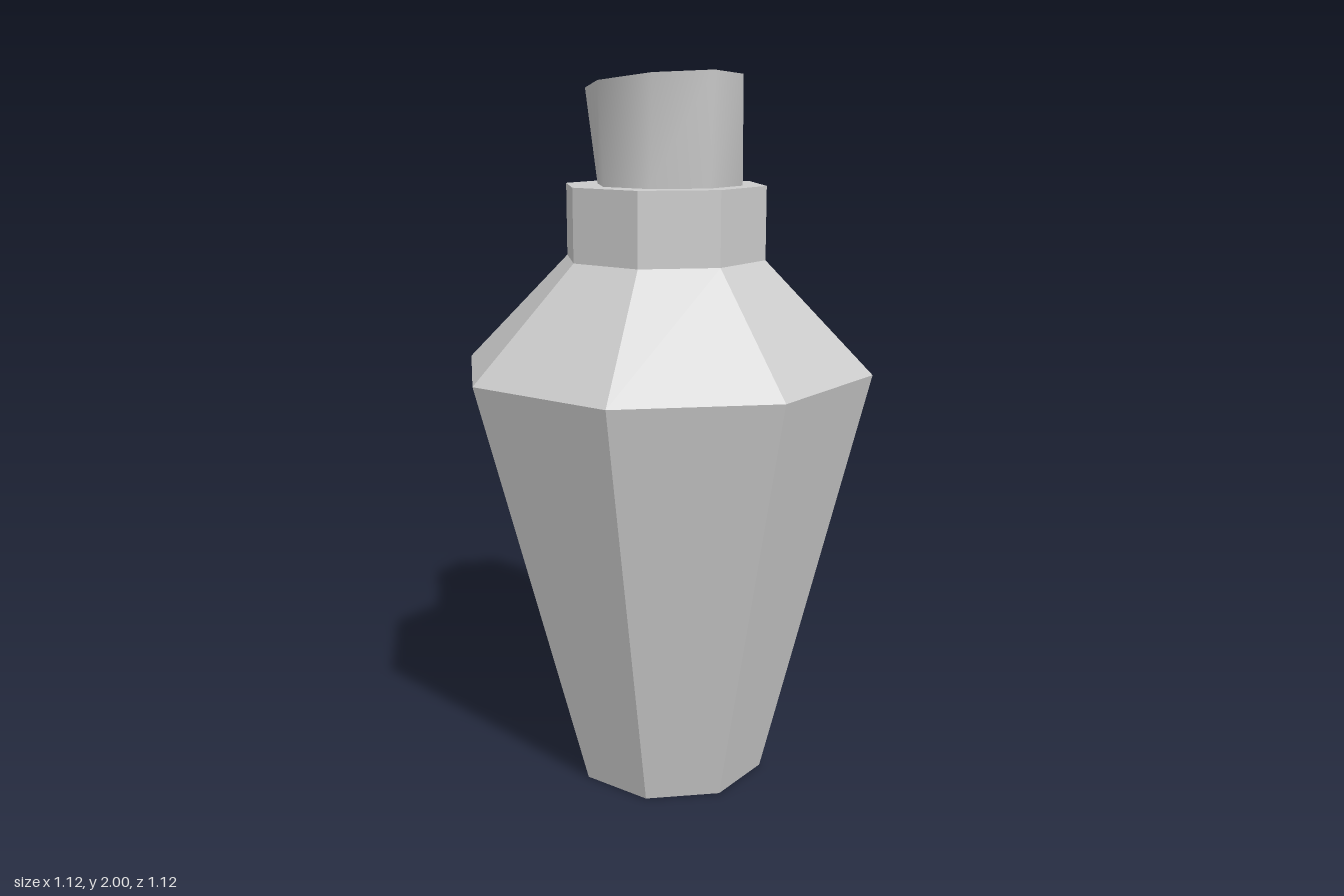
import * as THREE from 'three';
import { toCreasedNormals } from 'three/addons/utils/BufferGeometryUtils.js';

const SIDES = 8;
const TURN = THREE.MathUtils.degToRad(27.5);

// Eight-sided frustum standing between two heights
function frustum(rTop, rBottom, y0, y1, open = false) {
  const geo = new THREE.CylinderGeometry(rTop, rBottom, y1 - y0, SIDES, 1, open, TURN);
  return geo.translate(0, (y0 + y1) / 2, 0);
}

// Moves every vertex at or above/below a height by a rule
function reshape(geo, rule) {
  const pos = geo.attributes.position;
  const v = new THREE.Vector3();
  for (let i = 0; i < pos.count; i++) {
    rule(v.fromBufferAttribute(pos, i));
    pos.setXYZ(i, v.x, v.y, v.z);
  }
  geo.computeVertexNormals();
  return geo;
}

export function createModel() {
  const group = new THREE.Group();
  const faceted = new THREE.MeshStandardMaterial({ color: 0xcccccc, flatShading: true });
  const smooth = new THREE.MeshStandardMaterial({ color: 0xcccccc });

  const add = (name, geo, material) => {
    const mesh = new THREE.Mesh(geo, material);
    mesh.name = name;
    group.add(mesh);
  };

  // Tapered body whose foot sits slightly off centre
  const body = reshape(frustum(0.586, 0.276, 0, 1.195, true), (v) => {
    if (v.y < 0.1) v.add(new THREE.Vector3(0.013, 0, 0.027));
  });
  add('body', body, faceted);

  // Flat underside
  const base = new THREE.CircleGeometry(0.276, SIDES, TURN - Math.PI / 2);
  base.rotateX(Math.PI / 2).translate(0.013, 0, 0.027);
  // match the circle's corners to the body's corners
  base.translate(-0.013, 0, -0.027).rotateY(2 * TURN).translate(0.013, 0, 0.027);
  add('base', base, faceted);

  add('shoulder', frustum(0.284, 0.586, 1.195, 1.5, true), faceted);
  add('neck', frustum(0.284, 0.284, 1.5, 1.7), faceted);

  // Crooked stopper: flared, skewed and tilted at the top
  const stopper = reshape(frustum(1, 1, 1.7, 2), (v) => {
    const { x, z } = v;
    if (v.y > 1.9) {
      v.x = -0.005 + 0.212 * x + 0.025 * z;
      v.z = -0.02 + 0.025 * x + 0.252 * z;
      v.y = 1.977 + 0.04 * v.x + 0.085 * v.z;
    } else {
      v.x = 0.012 + 0.205 * x;
      v.z = 0.007 + 0.205 * z;
    }
  });
  add('stopper', toCreasedNormals(stopper, Math.PI / 3), smooth);

  return group;
}
